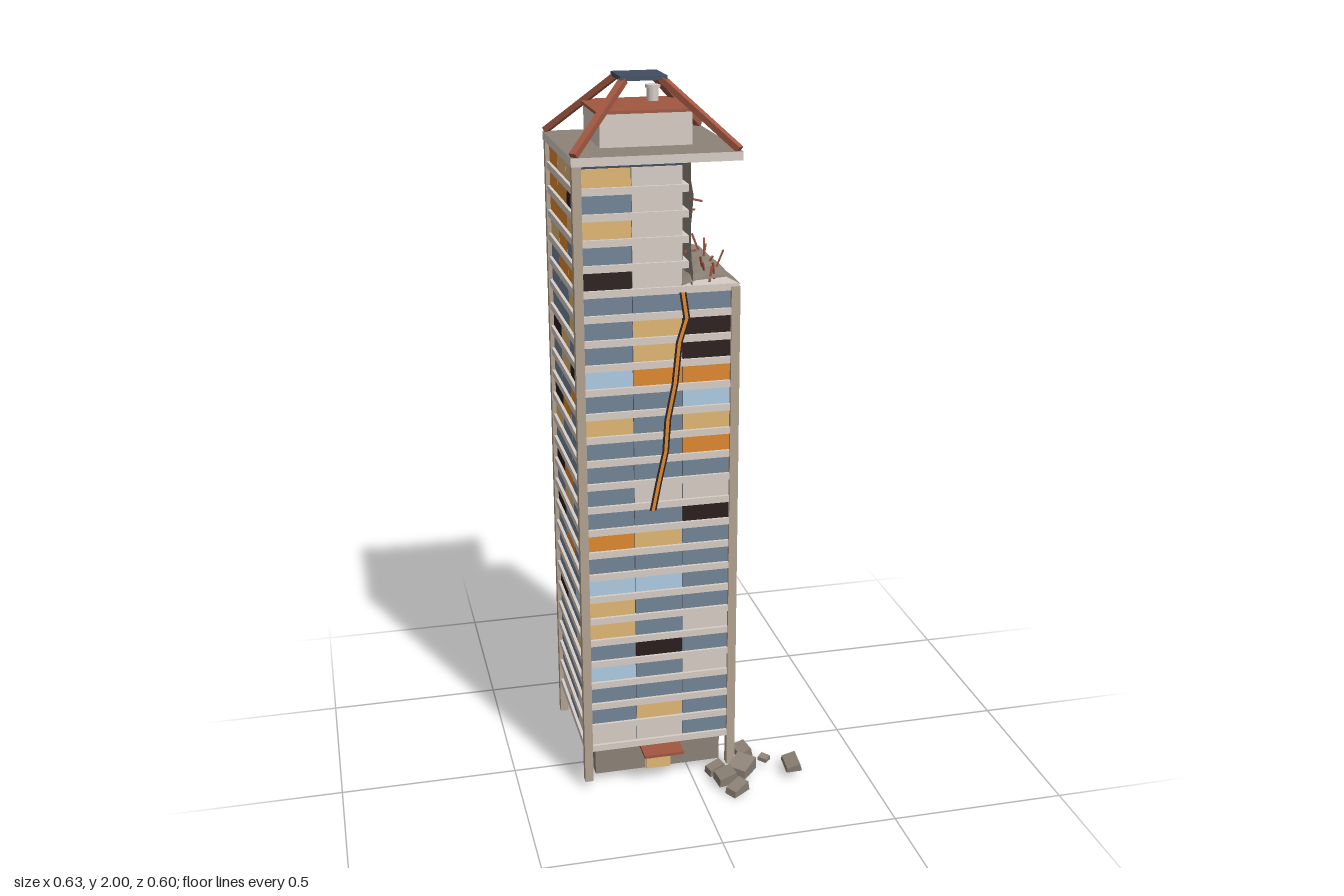
import * as THREE from 'three';

const mat = (name, color, side = THREE.FrontSide) => {
  const m = new THREE.MeshStandardMaterial({ color, side });
  m.name = name;
  return m;
};

export function createModel() {
  const M = {
    W: mat('paleConcrete', 0xd8cec6), G: mat('brokenConcrete', 0x8d8277, THREE.DoubleSide),
    C: mat('columnConcrete', 0xb3a391), B: mat('blueGlass', 0x738597),
    L: mat('lightBlueGlass', 0xafcce4), T: mat('warmGlass', 0xe2b874),
    O: mat('orange', 0xe0892f), D: mat('black', 0x2b1e1d),
    R: mat('redSteel', 0xa25742), N: mat('navy', 0x424d61),
  };
  const model = new THREE.Group();
  model.name = 'damagedTower';
  const tower = new THREE.Group();
  tower.name = 'tower';
  model.add(tower);

  let seed = 7;
  const rnd = () => (seed = (seed * 16807) % 2147483647) / 2147483647;
  const add = (parent, name, geo, m, x = 0, y = 0, z = 0) => {
    const mesh = new THREE.Mesh(geo, m);
    mesh.name = name;
    mesh.position.set(x, y, z);
    parent.add(mesh);
    return mesh;
  };
  // Box given by its two opposite corners
  const box = (parent, name, m, x0, x1, y0, y1, z0, z1) =>
    add(parent, name, new THREE.BoxGeometry(x1 - x0, y1 - y0, z1 - z0), m,
      (x0 + x1) / 2, (y0 + y1) / 2, (z0 + z1) / 2);
  // Bar between two points, built while the tower is still at the origin
  const bar = (name, m, a, b, w, h = w) => {
    const mesh = add(tower, name, new THREE.BoxGeometry(w, h, a.distanceTo(b)), m);
    mesh.position.copy(a).add(b).multiplyScalar(0.5);
    mesh.lookAt(b);
  };
  const V = (x, y, z) => new THREE.Vector3(x, y, z);
  const flat = (g) => { const n = g.toNonIndexed(); n.computeVertexNormals(); return n; };

  const H = 0.2225, EDGE = 0.2195, CORE = 0.207, PITCH = 0.067, Y0 = 0.126, CUT = 1.467, TOP = 1.8, BREAK = 0.0825;

  // Hollow podium walls, open below
  for (const s of [-1, 1]) {
    box(tower, 'podiumWall', M.G, -0.185, 0.185, 0.022, 0.118, s * 0.181 - 0.004, s * 0.181 + 0.004);
    box(tower, 'podiumWall', M.G, s * 0.181 - 0.004, s * 0.181 + 0.004, 0.022, 0.118, -0.177, 0.177);
  }

  // Solid cores behind the windows
  box(tower, 'lowerCore', M.N, -CORE, CORE, 0.12, CUT, -CORE, CORE);
  box(tower, 'upperCore', M.N, -CORE, 0.0675, CUT, TOP, -CORE, CORE);

  // Corner columns; the two on the broken side stop at the break
  for (const sx of [-1, 1]) for (const sz of [-1, 1]) {
    const col = box(tower, 'cornerColumn', M.C, -0.012, 0.012, 0.022, sx < 0 ? TOP : CUT, -0.012, 0.012);
    col.position.x = sx * (H - 0.012);
    col.position.z = sz * (H - 0.012);
  }

  // Floor slabs
  for (let i = 0; i < 25; i++) {
    const y = Y0 + i * PITCH;
    box(tower, 'floorSlab', M.W, -EDGE, i > 20 ? BREAK : EDGE, y - 0.0095, y + 0.0095, -EDGE, EDGE);
  }

  // Window rows from top to bottom, each read left to right from outside
  const facades = {
    front: [0, 'TW- BW- TW- BW- DW- BBB BTD BTD LOO BBL TBT BBO BBB BWW BBD OTB BBB LLB TBB TBW BDB LBW BBB BTB WWB'],
    right: [Math.PI / 2, '--- --- --- --- --- DDB OOD DOT BBT BBB TBL OTB WBB WBB WBB BBO DBT BBT BTT WBL BBL WBB WBB BBB OBB'],
    back: [Math.PI, '-WT -WB -WT -WB -WD DDB DDD BBB BDT OBB BTD BBB BBB BTB BBB LBB BBB BBO OBD LBB BLB BBB BBB BOB BBT'],
    left: [-Math.PI / 2, 'OTT OOD OOT TOB BOO BBT BBT DTB BTD BBO DOB TBB BBB DOB BTB DBB BOB BBB BBL DBB BBT BBB BBB BBW WBW'],
  };
  const paneGeo = new THREE.BoxGeometry(0.133, PITCH - 0.019, 0.008);
  for (const [side, [angle, rows]] of Object.entries(facades)) {
    const facade = new THREE.Group();
    facade.name = side + 'Windows';
    facade.rotation.y = angle;
    tower.add(facade);
    rows.split(' ').forEach((row, r) => [...row].forEach((key, c) => {
      if (key !== '-') add(facade, 'window', paneGeo, M[key], (c - 1) * 0.135, Y0 + (24.5 - r) * PITCH, CORE);
    }));
  }

  // Entrance
  box(tower, 'canopy', M.R, -0.0575, 0.0575, 0.104, 0.113, 0.18, 0.272);
  box(tower, 'doorFrame', M.W, -0.038, 0.038, 0.022, 0.095, 0.18, 0.189);
  box(tower, 'door', M.T, -0.036, 0.036, 0.022, 0.055, 0.186, 0.193);

  // Torn floor on the broken storey: low mound with a ragged surface
  const floor = new THREE.PlaneGeometry(0.16, 2 * H, 4, 9).rotateX(-Math.PI / 2);
  const fp = floor.attributes.position;
  for (let i = 0; i < fp.count; i++) {
    const u = fp.getX(i) / 0.08;
    fp.setY(i, 0.006 + 0.018 * (1 - u * u) + rnd() * 0.01 * (u < 0.9 ? 1 : 0.4));
  }
  add(tower, 'tornFloor', flat(floor), M.G, 0.1425, CUT, 0);

  // Torn wall facing the missing corner, nearly flat with ragged outer edges
  const wall = new THREE.PlaneGeometry(2 * H, TOP - CUT, 6, 8).rotateY(Math.PI / 2);
  const wp = wall.attributes.position;
  for (let i = 0; i < wp.count; i++) {
    const rim = Math.abs(wp.getZ(i)) > H - 0.01;
    wp.setX(i, rim ? rnd() * 0.012 : 0.014 + rnd() * 0.007);
  }
  add(tower, 'tornWall', flat(wall), M.G, BREAK, (CUT + TOP) / 2, 0);

  // Bent reinforcing rods
  for (let i = 0; i < 13; i++) {
    const a = V(0.11 + rnd() * 0.1, CUT + 0.01, -0.21 + i * 0.034);
    bar('floorRod', M.R, a, a.clone().add(V((rnd() - 0.5) * 0.04, 0.03 + rnd() * 0.025, (rnd() - 0.5) * 0.03)), 0.005);
  }
  for (let i = 0; i < 8; i++) {
    const a = V(BREAK + 0.01, 1.54 + rnd() * 0.22, -0.19 + i * 0.053);
    bar('wallRod', M.R, a, a.clone().add(V(0.03 + rnd() * 0.015, (rnd() - 0.5) * 0.03, (rnd() - 0.5) * 0.02)), 0.005);
  }

  // Roof slab, penthouse and its flat red roof
  box(tower, 'roofSlab', [M.W, M.W, M.G, M.G, M.W, M.W], -H - 0.002, H + 0.002, TOP, 1.823, -H - 0.002, H + 0.002);
  box(tower, 'penthouse', M.W, -0.125, 0.123, 1.823, 1.91, -0.137, 0.092);
  box(tower, 'penthouseRoof', M.R, -0.135, 0.135, 1.91, 1.918, -0.145, 0.1);
  add(tower, 'vent', new THREE.CylinderGeometry(0.016, 0.016, 0.04, 10), M.W, 0.053, 1.935, -0.07);
  add(tower, 'ventCap', new THREE.CylinderGeometry(0.021, 0.021, 0.008, 10), M.W, 0.053, 1.957, -0.07);

  // Open pyramid of beams with a cap
  for (const sx of [-1, 1]) for (const sz of [-1, 1]) {
    bar('roofBeam', M.R, V(sx * 0.217, 1.827, sz * 0.217), V(sx * 0.052, 1.989, sz * 0.052), 0.02, 0.016);
  }
  box(tower, 'roofCap', M.N, -0.0625, 0.0625, 1.988, 2, -0.0625, 0.0625);

  // Glowing cracks: a dark strip with a narrower orange one on top
  const strip = (parent, name, pts, w, m, depth) => {
    const pos = [], idx = [];
    pts.forEach(([u, y], i) => {
      pos.push(u - w / 2, y, 0, u + w / 2, y, 0);
      const k = 2 * i;
      if (i) idx.push(k - 2, k, k - 1, k, k + 1, k - 1);
    });
    const g = new THREE.BufferGeometry();
    g.setAttribute('position', new THREE.Float32BufferAttribute(pos, 3));
    g.setIndex(idx);
    g.computeVertexNormals();
    add(parent, name, g, m, 0, 0, depth);
  };
  const cracks = {
    frontCrack: [0, [[0.0655, 1.46], [0.076, 1.39], [0.056, 1.325], [0.044, 1.21], [0.024, 1.11], [0.018, 1.02], [-0.002, 0.93], [-0.018, 0.85]]],
    rightCrack: [Math.PI / 2, [[-0.053, 1.46], [-0.058, 1.245], [-0.022, 1.075], [0.005, 0.945], [0.02, 0.81], [0.036, 0.73], [-0.022, 0.62], [0.02, 0.52]]],
  };
  for (const [name, [angle, pts]] of Object.entries(cracks)) {
    const crack = new THREE.Group();
    crack.name = name;
    crack.rotation.y = angle;
    tower.add(crack);
    strip(crack, 'crackEdge', pts, 0.019, M.D, H);
    strip(crack, 'crackGlow', pts, 0.009, M.O, H + 0.002);
  }

  // Fallen rubble: x, z, width, height, depth, turn
  const rubble = [
    [0.173, 0.072, 0.044, 0.024, 0.054, 0.1], [0.07, 0.152, 0.052, 0.026, 0.032, 0.2],
    [0.14, 0.187, 0.068, 0.036, 0.058, 0.75], [0.083, 0.222, 0.058, 0.03, 0.05, 0.05],
    [0.105, 0.27, 0.058, 0.026, 0.036, 0.5], [0.22, 0.147, 0.022, 0.014, 0.028, 0.7],
    [0.289, 0.198, 0.046, 0.018, 0.068, -0.15],
  ];
  for (const [x, z, w, h, d, turn] of rubble) {
    const g = new THREE.BoxGeometry(w, h, d);
    const p = g.attributes.position;
    for (let i = 0; i < p.count; i++) {
      // Shear and taper each block into a shard
      const top = p.getY(i) > 0 ? 1 : 0;
      p.setX(i, p.getX(i) * (1 - 0.15 * top) + 0.1 * p.getZ(i));
      p.setY(i, p.getY(i) + top * 0.25 * p.getX(i));
    }
    g.rotateZ(0.12).rotateX(0.1).rotateY(turn);
    g.computeBoundingBox();
    const lift = x > 0.2 ? 0.018 : h > 0.029 ? 0.01 : 0;
    add(model, 'rubble', flat(g), M.G, x, lift - g.boundingBox.min.y, z);
  }

  tower.position.set(-0.0925, 0, -0.0775);
  return model;
}
